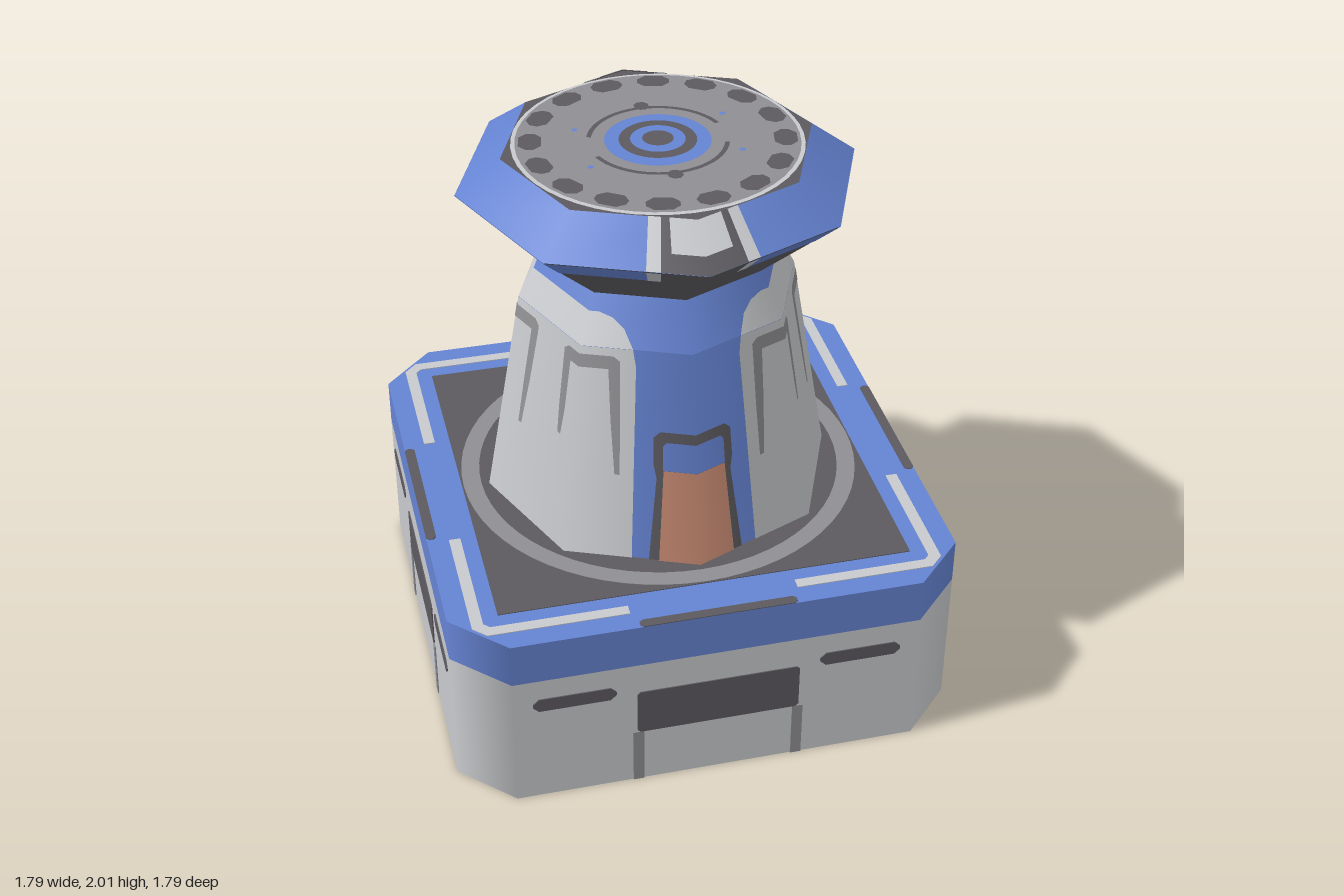
import * as THREE from 'three';

const mat = (name, color) => Object.assign(
  new THREE.MeshStandardMaterial({ color, side: THREE.DoubleSide }), { name });

export function createModel() {
  const light = mat('light grey', 0xc8cacd);
  const mid = mat('mid grey', 0x8f8e92);
  const dark = mat('dark grey', 0x5c5a5f);
  const blue = mat('blue', 0x6583d2);
  const orange = mat('orange', 0xc98b73);
  const model = new THREE.Group();

  const add = (parent, name, geo, material) => {
    const mesh = new THREE.Mesh(geo, material);
    mesh.name = name;
    parent.add(mesh);
    return mesh;
  };
  const group = (parent, name) => {
    const g = new THREE.Group();
    g.name = name;
    parent.add(g);
    return g;
  };
  const build = (pos, nor, idx) => {
    const g = new THREE.BufferGeometry();
    g.setAttribute('position', new THREE.Float32BufferAttribute(pos, 3));
    g.setAttribute('normal', new THREE.Float32BufferAttribute(nor, 3));
    g.setIndex(idx);
    return g;
  };
  const poly = (pts) => new THREE.Shape(pts.map(([x, y]) => new THREE.Vector2(x, y)));
  // Rectangle with cut corners
  const rect = (x0, y0, x1, y1, c = 0) => poly(c ? [[x0 + c, y0], [x1 - c, y0], [x1, y0 + c], [x1, y1 - c],
    [x1 - c, y1], [x0 + c, y1], [x0, y1 - c], [x0, y0 + c]] : [[x0, y0], [x1, y0], [x1, y1], [x0, y1]]);
  // Thin plate straddling its surface, so it shows from both sides
  const plate = (shape, e = 0.004) => new THREE.ExtrudeGeometry(shape,
    { depth: 2 * e, bevelEnabled: false, curveSegments: 32 }).translate(0, 0, -e);

  // ---- Hollow base with softened corners ----
  const base = group(model, 'base');
  const H = 0.89, C = 0.71, TOP = 0.685;
  const outline = [], outNormals = [];
  for (let k = 0; k < 4; k++) {
    const c = Math.round(Math.cos(k * Math.PI / 2)), s = Math.round(Math.sin(k * Math.PI / 2));
    for (const x of [-C, C]) {
      outline.push([x * c + H * s, -x * s + H * c]);
      outNormals.push([s, 0, c]);
    }
  }
  const wall = (y0, y1) => {
    const pos = [], nor = [], idx = [];
    outline.forEach(([x, z], i) => {
      pos.push(x, y0, z, x, y1, z);
      nor.push(...outNormals[i], ...outNormals[i]);
      const a = 2 * i, b = 2 * ((i + 1) % 8);
      idx.push(a, b, b + 1, a, b + 1, a + 1);
    });
    return build(pos, nor, idx);
  };
  add(base, 'baseWall', wall(0, 0.52), light);
  add(base, 'baseBand', wall(0.52, TOP), blue);
  const flat = (geo, y) => geo.rotateX(-Math.PI / 2).translate(0, y, 0);
  add(base, 'deck', flat(new THREE.ShapeGeometry(poly(outline.map(([x, z]) => [x, -z]).reverse())), TOP), blue);
  add(base, 'deckField', flat(plate(rect(-0.72, -0.72, 0.72, 0.72), 0.003), TOP), dark);
  const ring = new THREE.Shape().absarc(0, 0, 0.715, 0, Math.PI * 2);
  ring.holes.push(new THREE.Path().absarc(0, 0, 0.65, 0, Math.PI * 2, true));
  add(base, 'deckRing', flat(plate(ring, 0.0045), TOP), mid);

  for (let k = 0; k < 4; k++) {
    const side = group(base, 'baseSide');
    side.rotation.y = k * Math.PI / 2;
    const onWall = (name, shape, m) => add(side, name, plate(shape).translate(0, 0, H), m);
    onWall('hatch', rect(-0.285, 0.22, 0.285, 0.4, 0.01), dark);
    for (const s of [-1, 1]) {
      onWall('hatchSeam', rect(s * 0.282 - 0.019, 0, s * 0.282 + 0.019, 0.22), mid);
      onWall('slot', rect(s * 0.5 - 0.143, 0.388, s * 0.5 + 0.143, 0.44, 0.02), dark);
    }
    add(side, 'edgeNotch', flat(plate(rect(-0.27, -0.89, 0.27, -0.855, 0.01), 0.003), TOP), dark);
    const bracket = poly([[0.29, 0.775], [0.755, 0.775], [0.775, 0.755], [0.775, 0.29],
      [0.815, 0.29], [0.815, 0.77], [0.77, 0.815], [0.29, 0.815]]);
    add(side, 'cornerBracket', flat(plate(bracket, 0.003), TOP), light);
  }

  // ---- Octagonal tower and head ----
  // t runs around the octagon: 0 = front corner, 2 = left corner, 4 = back corner
  const profile = [[TOP, 0.62], [1.46, 0.485], [1.62, 0.4], [1.88, 0.685], [1.995, 0.53]];
  const corner = (k) => [Math.sin(k * Math.PI / 4), Math.cos(k * Math.PI / 4)];
  // rows: [height, tStart, tEnd] going upwards
  const patch = (rows, e = 0) => {
    const pos = [], nor = [], idx = [];
    for (let i = 0; i < rows.length - 1; i++) {
      const ym = (rows[i][0] + rows[i + 1][0]) / 2;
      let s = 0;
      while (s < profile.length - 2 && ym > profile[s + 1][0]) s++;
      const [ya, ra] = profile[s], [yb, rb] = profile[s + 1];
      const len = Math.hypot(yb - ya, rb - ra);
      const out = (yb - ya) / len, up = (ra - rb) / len;
      const start = pos.length / 3;
      let n = 0;
      for (const [y, t0, t1] of [rows[i], rows[i + 1]]) {
        const cols = [t0];
        for (let k = Math.floor(t0) + 1; k < t1; k++) cols.push(k);
        cols.push(t1);
        n = cols.length;
        const r = ra + (rb - ra) * (y - ya) / (yb - ya) + e * out;
        for (const t of cols) {
          const k = Math.floor(t), f = t - k, a = corner(k), b = corner(k + 1);
          const x = a[0] + (b[0] - a[0]) * f, z = a[1] + (b[1] - a[1]) * f, l = Math.hypot(x, z);
          pos.push(x * r, y + e * up, z * r);
          nor.push(x / l * out, up, z / l * out);
        }
      }
      for (let j = 0; j < n - 1; j++) {
        const a = start + j, b = a + n;
        idx.push(a, a + 1, b + 1, a, b + 1, b);
      }
    }
    return build(pos, nor, idx);
  };
  const band = (...ys) => patch(ys.map((y) => [y, 0, 8]));
  const tower = group(model, 'tower'), head = group(model, 'head');
  add(tower, 'towerBody', band(TOP, 1.46, 1.62), blue);
  add(head, 'headUnderside', band(1.62, 1.88), dark);
  add(head, 'headRim', band(1.88, 1.995), blue);

  for (const o of [0, 4]) {
    const on = (parent, name, m, e, rows) =>
      add(parent, name, patch(rows.map(([y, a, b]) => [y, a + o, b + o]), e), m);
    // Side armour shell
    on(tower, 'sideShell', light, 0.003, [[TOP, 0.5, 3.5], [1.4, 0.5, 3.5], [1.46, 0.53, 3.47],
      [1.52, 0.63, 3.37], [1.55, 0.75, 3.25], [1.565, 0.9, 3.1]]);
    // Grooves: three short bars with tapering legs
    for (const [a, b] of [[0.64, 1.22], [1.63, 2.37], [2.78, 3.36]])
      on(tower, 'grooveBar', mid, 0.005, [[1.385, a, b], [1.415, a, b], [1.432, a + 0.06, b - 0.06]]);
    for (const [t, low, d] of [[0.69, 1, -0.06], [1.17, 1.1, 0.02], [1.68, 1.02, 0.04]])
      for (const m of [0, 1]) {
        const row = (y, c, w) => m ? [y, 4 - c - w, 4 - c + w] : [y, c - w, c + w];
        on(tower, 'grooveLeg', mid, 0.005, [row(low, t + d, 0.02), row(1.2, t + d / 2, 0.04), row(1.39, t, 0.05)]);
      }
    // Doorway
    on(tower, 'doorFrame', dark, 0.003, [[TOP, -0.375, 0.375], [1.0, -0.32, 0.32], [1.05, -0.345, 0.345],
      [1.15, -0.345, 0.345], [1.172, -0.29, 0.29]]);
    on(tower, 'doorWindow', blue, 0.005, [[1.03, -0.27, 0.27], [1.12, -0.27, 0.27], [1.135, -0.24, 0.24]]);
    on(tower, 'door', orange, 0.006, [[TOP, -0.3, 0.3], [1.03, -0.265, 0.265]]);
    // Head trim
    on(head, 'rimLowerEdge', blue, 0.002, [[1.8, 0.38, 3.62], [1.88, 0.38, 3.62]]);
    on(head, 'visorFrame', dark, 0.002, [[1.88, -0.29, 0.29], [1.995, -0.29, 0.29]]);
    on(head, 'visorPlate', light, 0.004, [[1.92, -0.22, 0.22], [1.995, -0.22, 0.22]]);
    for (const s of [-0.335, 0.335])
      on(head, 'visorStripe', light, 0.003, [[1.8, s - 0.045, s + 0.045], [1.88, s - 0.045, s + 0.045],
        [1.995, s - 0.05, s + 0.05]]);
  }

  // ---- Head roof ----
  const roof = group(head, 'roof');
  const disc = (name, r, layer, m, sides = 48) =>
    add(roof, name, flat(new THREE.CircleGeometry(r, sides), 1.995 + layer * 0.002), m);
  disc('roofPlate', 0.53, 0, dark, 8);
  disc('roofTrim', 0.488, 1, light);
  disc('roofDisc', 0.474, 2, mid);
  [[0.178, blue], [0.13, dark], [0.092, blue], [0.052, dark]].forEach(([r, m], i) =>
    disc('roofTarget', r, 3 + i, m));
  for (let k = 0; k < 16; k++) {
    const pad = add(roof, 'roofPad', flat(new THREE.ShapeGeometry(rect(-0.055, 0.385, 0.055, 0.462, 0.025)), 2.001), dark);
    pad.rotation.y = (k + 0.5) * Math.PI / 8;
  }
  for (const s of [0, 1]) {
    const arc = new THREE.RingGeometry(0.222, 0.238, 24, 1, s * Math.PI + 0.3, Math.PI - 0.6);
    add(roof, 'roofArc', flat(arc, 2.001), dark);
    const mark = add(roof, 'roofMark', flat(new THREE.ShapeGeometry(rect(-0.025, 0.215, 0.025, 0.27, 0.015)), 2.002), dark);
    mark.rotation.y = s * Math.PI;
    for (const x of [-0.255, 0.255])
      add(roof, 'roofStud', flat(new THREE.CircleGeometry(0.011, 8), 2.001).translate(x, 0, s ? 0.13 : -0.13), blue);
  }
  return model;
}
